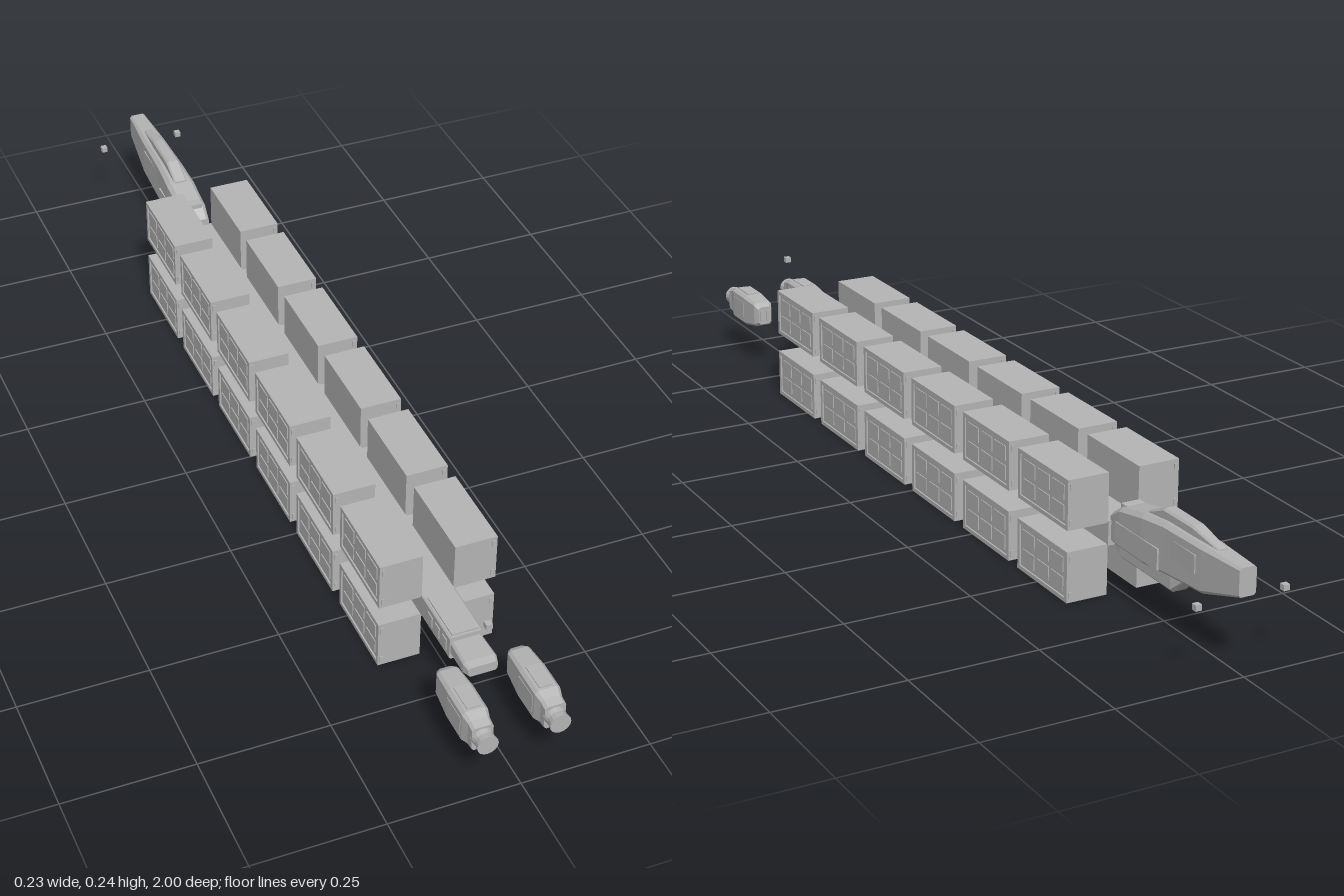
import * as THREE from 'three';

const hull = new THREE.MeshStandardMaterial({ color: 0xb4b4b4 });
hull.name = 'hull grey';
hull.flatShading = true;

function add(parent, name, geometry, x = 0, y = 0, z = 0) {
  const m = new THREE.Mesh(geometry, hull);
  m.name = name;
  m.position.set(x, y, z);
  parent.add(m);
  return m;
}

// box given by its limits
function block(parent, name, x0, x1, y0, y1, z0, z1) {
  return add(parent, name, new THREE.BoxGeometry(x1 - x0, y1 - y0, z1 - z0),
    (x0 + x1) / 2, (y0 + y1) / 2, (z0 + z1) / 2);
}

// hull skinned over chamfered rectangles: [z, half width, bottom, top, chamfer], z ascending
function loft(sections) {
  const rings = sections.map(([z, w, b, t, c]) => [
    [-w + c, b, z], [w - c, b, z], [w, b + c, z], [w, t - c, z],
    [w - c, t, z], [-w + c, t, z], [-w, t - c, z], [-w, b + c, z]]);
  const p = [];
  const tri = (...v) => v.forEach(q => p.push(...q));
  for (let k = 0; k < rings.length - 1; k++) {
    for (let i = 0; i < 8; i++) {
      const j = (i + 1) % 8, r = rings[k], s = rings[k + 1];
      tri(r[i], r[j], s[j]);
      tri(r[i], s[j], s[i]);
    }
  }
  const first = rings[0], last = rings[rings.length - 1];
  for (let i = 1; i < 7; i++) {
    tri(first[0], first[i + 1], first[i]);
    tri(last[0], last[i], last[i + 1]);
  }
  const g = new THREE.BufferGeometry();
  g.setAttribute('position', new THREE.Float32BufferAttribute(p, 3));
  g.computeVertexNormals();
  return g;
}

// cargo container with a framed, ribbed outer side; side is +1 or -1
function makeContainer(side, y0, y1, zc) {
  const g = new THREE.Group();
  g.name = 'cargoContainer';
  const L = 0.09, span = (a, b) => (side > 0 ? [a, b] : [-b, -a]);
  block(g, 'containerBody', ...span(0.031, 0.111), y0, y1, zc - L, zc + L);
  const f = span(0.111, 0.114), rib = span(0.111, 0.1128);
  block(g, 'topRail', ...f, y1 - 0.008, y1, zc - L, zc + L);
  block(g, 'bottomRail', ...f, y0, y0 + 0.008, zc - L, zc + L);
  const h = (y1 - y0) / 2, yc = (y0 + y1) / 2;
  for (const s of [-1, 1]) {
    const e = zc + s * (L - 0.004);
    block(g, 'endPost', ...f, y0 + 0.008, y1 - 0.008, e - 0.004, e + 0.004);
    // door locks on both ends
    for (const t of [-1, 1]) {
      const l = span(0.104, 0.11), zl = zc + s * L, yl = yc + t * (h - 0.014);
      block(g, 'cornerLock', ...l, yl - 0.006, yl + 0.006, zl - 0.002, zl + 0.002);
    }
  }
  for (let i = -1; i <= 1; i++) {
    for (const t of [-1, 1]) {
      const z = zc + i * 0.052, y = yc + t * 0.019;
      block(g, 'sidePanel', ...rib, y - 0.014, y + 0.014, z - 0.021, z + 0.021);
    }
  }
  return g;
}

function makeEngine(x) {
  const g = new THREE.Group();
  g.name = 'enginePod';
  g.position.x = x;
  add(g, 'podHull', loft([
    [0.822, 0.015, 0.1, 0.14, 0.005], [0.834, 0.021, 0.094, 0.147, 0.005],
    [0.885, 0.024, 0.084, 0.152, 0.006], [0.945, 0.024, 0.084, 0.152, 0.006],
    [0.962, 0.02, 0.09, 0.146, 0.005], [0.978, 0.02, 0.092, 0.142, 0.005]]));
  const collar = add(g, 'nozzleCollar', new THREE.CylinderGeometry(0.018, 0.021, 0.014, 16), 0, 0.118, 0.98);
  const nozzle = add(g, 'nozzle', new THREE.CylinderGeometry(0.02, 0.018, 0.014, 16), 0, 0.118, 0.993);
  collar.rotation.x = nozzle.rotation.x = Math.PI / 2;
  block(g, 'topPlate', -0.013, 0.013, 0.15, 0.154, 0.885, 0.94);
  for (const s of [-1, 1]) {
    block(g, 'sidePlate', s * 0.0235 - 0.0015, s * 0.0235 + 0.0015, 0.1, 0.136, 0.885, 0.94);
    block(g, 'rearVent', s * 0.008 - 0.004, s * 0.008 + 0.004, 0.108, 0.132, 0.819, 0.824);
  }
  return g;
}

function makeCommandHull() {
  const g = new THREE.Group();
  g.name = 'commandHull';
  add(g, 'mainHull', loft([
    [-1, 0.017, 0.147, 0.2, 0.004], [-0.893, 0.024, 0.113, 0.202, 0.007],
    [-0.78, 0.027, 0.105, 0.202, 0.008], [-0.715, 0.03, 0.1, 0.195, 0.008],
    [-0.64, 0.029, 0.1, 0.18, 0.008], [-0.607, 0.026, 0.1, 0.158, 0.006]]));
  add(g, 'keel', loft([
    [-0.826, 0.014, 0.104, 0.125, 0.003], [-0.797, 0.02, 0.077, 0.125, 0.006],
    [-0.63, 0.02, 0.077, 0.125, 0.006], [-0.605, 0.017, 0.092, 0.125, 0.005]]));
  add(g, 'dorsalRidge', loft([
    [-0.925, 0.009, 0.192, 0.203, 0.002], [-0.85, 0.013, 0.19, 0.219, 0.004],
    [-0.76, 0.014, 0.19, 0.219, 0.004], [-0.71, 0.014, 0.18, 0.197, 0.003]]));
  block(g, 'bridgeWindow', -0.019, 0.019, 0.165, 0.183, -0.65, -0.63);
  for (const s of [-1, 1]) {
    block(g, 'sideArmour', s * 0.028 - 0.003, s * 0.028 + 0.003, 0.11, 0.15, -0.77, -0.63);
    block(g, 'tailPanel', s * 0.0245 - 0.002, s * 0.0245 + 0.002, 0.145, 0.18, -0.88, -0.8);
  }
  return g;
}

export function createModel() {
  const model = new THREE.Group();
  model.name = 'cargoShip';

  // central spine and its engine mount
  block(model, 'spine', -0.032, 0.032, 0.096, 0.143, -0.61, 0.645);
  add(model, 'spineEnd', loft([
    [0.645, 0.032, 0.096, 0.145, 0.003], [0.765, 0.032, 0.096, 0.145, 0.003]]));
  block(model, 'spineTopPlate', -0.026, 0.026, 0.143, 0.148, 0.655, 0.76);
  add(model, 'engineMount', loft([
    [0.765, 0.03, 0.107, 0.136, 0.004], [0.82, 0.032, 0.11, 0.136, 0.004],
    [0.835, 0.028, 0.113, 0.133, 0.004]]));
  for (const s of [-1, 1]) {
    for (let i = 0; i < 3; i++) {
      const z = 0.675 + i * 0.03;
      block(model, 'spineClamp', s * 0.032 - 0.002, s * 0.032 + 0.002, 0.108, 0.132, z, z + 0.018);
    }
  }

  // six bays of four containers
  for (let i = 0; i < 6; i++) {
    const z = 0.552 - i * 0.2138;
    for (const s of [-1, 1]) {
      model.add(makeContainer(s, 0.139, 0.235, z));
      model.add(makeContainer(s, 0, 0.098, z));
    }
  }

  model.add(makeEngine(0.068), makeEngine(-0.068), makeCommandHull());

  // free-floating marker beacons
  for (const [x, y, z] of [[0, 0.235, 0.844], [0.087, 0.14, -0.983], [-0.087, 0.14, -0.983]]) {
    add(model, 'beacon', new THREE.BoxGeometry(0.012, 0.011, 0.012), x, y, z);
  }
  return model;
}
